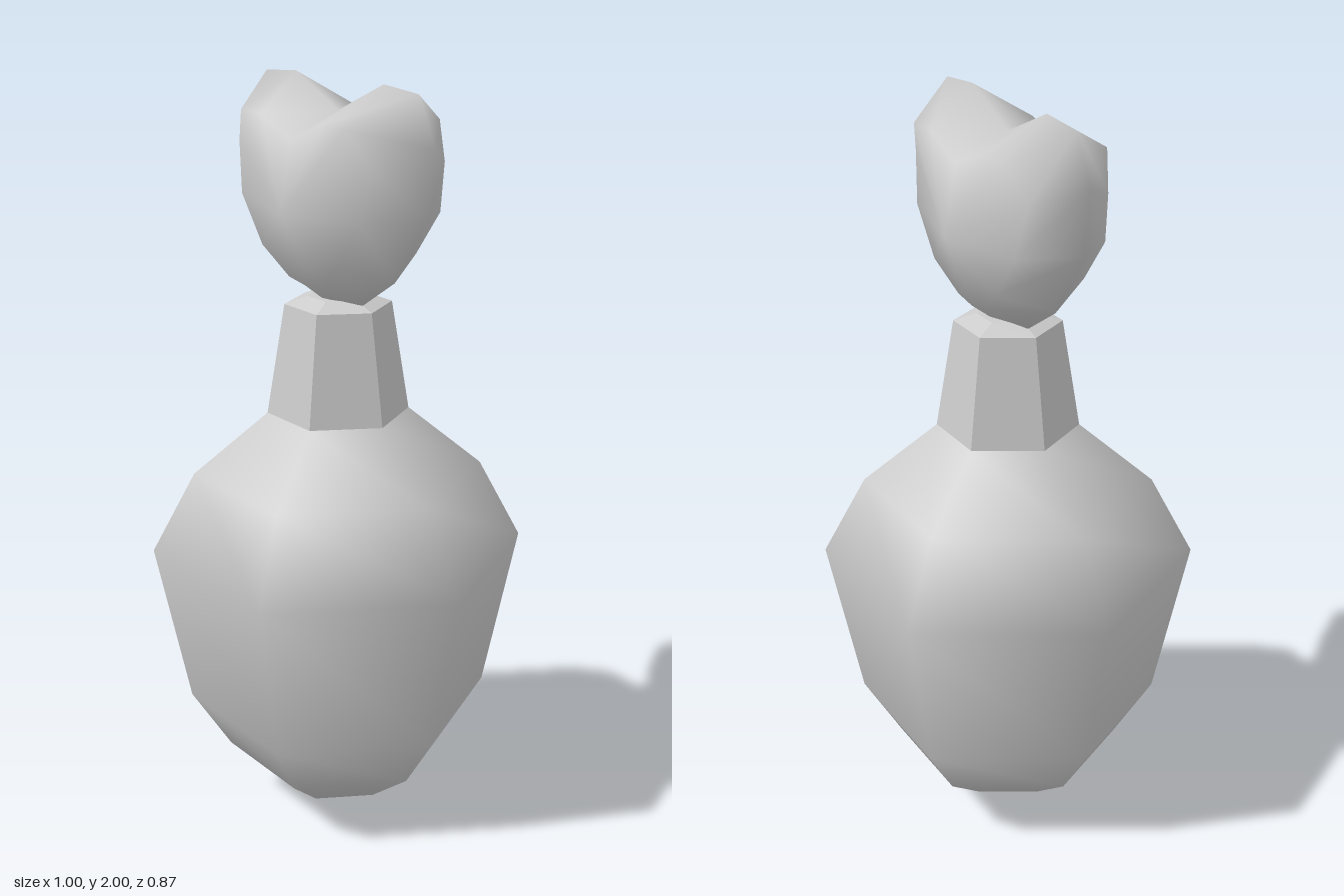
import * as THREE from 'three';

export function createModel() {
  const model = new THREE.Group();
  const grey = new THREE.MeshStandardMaterial({ color: 0xcccccc });
  grey.name = 'light grey';

  const add = (name, geometry) => {
    const mesh = new THREE.Mesh(geometry, grey);
    mesh.name = name;
    model.add(mesh);
  };
  const lathe = (points) => new THREE.LatheGeometry(
    points.map(([r, y]) => new THREE.Vector2(r, y)), 6, Math.PI / 2);

  // Six-sided, smooth-shaded bulb
  add('body', lathe([[0, 0], [0.16, 0.045], [0.305, 0.16], [0.41, 0.32],
    [0.5, 0.76], [0.385, 0.975], [0.185, 1.14]]));

  // Faceted tapering neck with a shallow bevelled cap
  const neck = lathe([[0.188, 1.135], [0.14, 1.43], [0.08, 1.45], [0, 1.45]]).toNonIndexed();
  neck.computeVertexNormals();
  add('neck', neck);

  add('heartHead', heart());
  return model;
}

// Pillow-shaped heart: rim outline, raised inner ring and apex on both faces
function heart() {
  // rim x, rim y, inner x, inner y, inner z, from the notch round to the bottom
  const half = [
    [0, 1.92, 0, 1.86, 0.145],
    [0.18, 2.0, 0.126, 1.91, 0.145],
    [0.31, 1.99, 0.217, 1.91, 0.145],
    [0.375, 1.87, 0.28, 1.82, 0.11],
    [0.35, 1.7, 0.25, 1.69, 0.125],
    [0.23, 1.525, 0.16, 1.57, 0.125],
    [0.1, 1.44, 0.07, 1.5, 0.105],
    [0, 1.41, 0, 1.49, 0.105],
  ];
  const mirrored = half.map(([x, y, ix, iy, iz]) => [-x, y, -ix, iy, iz]);
  const loop = [...mirrored, ...half.slice(1, -1).reverse()];
  const n = loop.length;

  const positions = [];
  loop.forEach(([x, y]) => positions.push(x, y, 0));
  for (const side of [1, -1]) {
    loop.forEach(([, , x, y, z]) => positions.push(x, y, z * side));
    positions.push(0, 1.68, 0.18 * side);
  }

  const index = [];
  for (const side of [0, 1]) {
    const ring = n + side * (n + 1);
    const apex = ring + n;
    const tri = (a, b, c) => (side ? index.push(a, c, b) : index.push(a, b, c));
    for (let i = 0; i < n; i++) {
      const j = (i + 1) % n;
      tri(i, j, ring + j);
      tri(i, ring + j, ring + i);
      tri(ring + i, ring + j, apex);
    }
  }

  const geometry = new THREE.BufferGeometry();
  geometry.setAttribute('position', new THREE.Float32BufferAttribute(positions, 3));
  geometry.setIndex(index);
  geometry.computeVertexNormals();
  return geometry;
}
